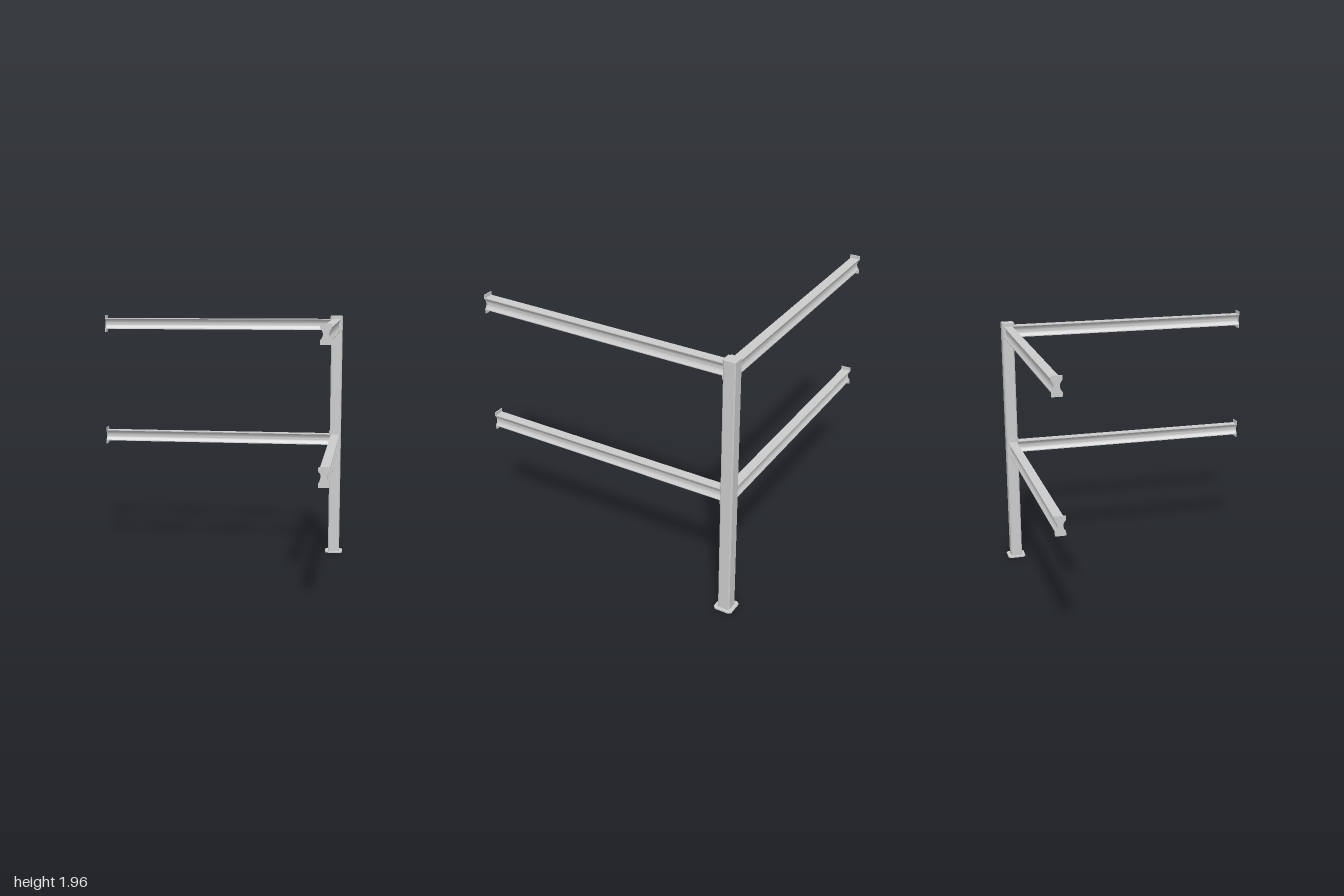
import * as THREE from 'three';
import { toCreasedNormals } from 'three/addons/utils/BufferGeometryUtils.js';

const steel = new THREE.MeshStandardMaterial({ color: 0xcccccc });
const POST = 0.925; // distance of the post axis from the centre, in x and -z
const FACE = 0.88; // post face that the beams meet

function extrude(shape, depth) {
  const g = new THREE.ExtrudeGeometry(shape, { depth, bevelEnabled: false, curveSegments: 12 });
  return toCreasedNormals(g, 0.5);
}

function part(name, geometry) {
  const mesh = new THREE.Mesh(geometry, steel);
  mesh.name = name;
  return mesh;
}

// Rectangle with a concave bite on each side
function waisted(halfWidth, halfHeight, biteHalf, biteDepth) {
  const s = new THREE.Shape();
  s.moveTo(-halfWidth, -halfHeight);
  s.lineTo(halfWidth, -halfHeight);
  s.lineTo(halfWidth, -biteHalf);
  s.quadraticCurveTo(halfWidth - 2 * biteDepth, 0, halfWidth, biteHalf);
  s.lineTo(halfWidth, halfHeight);
  s.lineTo(-halfWidth, halfHeight);
  s.lineTo(-halfWidth, biteHalf);
  s.quadraticCurveTo(-halfWidth + 2 * biteDepth, 0, -halfWidth, -biteHalf);
  s.closePath();
  return s;
}

// Square with cut corners
function cutSquare(half, cut, Type = THREE.Shape) {
  const a = half, b = half - cut;
  return new Type([[b, -a], [a, -b], [a, b], [b, a], [-b, a], [-a, b], [-a, -b], [-b, -a]]
    .map(([x, y]) => new THREE.Vector2(x, y)));
}

// Vertical extrusion from a plan shape, standing at height y
function upright(name, shape, y, height) {
  const g = extrude(shape, height);
  g.rotateX(-Math.PI / 2);
  g.translate(POST, y, -POST);
  return part(name, g);
}

function beam(name, y) {
  const group = new THREE.Group();
  group.name = name;
  const length = 1 + FACE, t = 0.006;
  const body = part('beamBody', extrude(waisted(0.034, 0.045, 0.039, 0.018), length - 2 * t));
  body.position.z = t;
  group.add(body);
  for (const z of [0, length - t]) {
    const plate = part('endPlate', extrude(waisted(0.038, 0.07, 0.039, 0.018), t));
    plate.position.z = z;
    group.add(plate);
  }
  group.position.y = y;
  return group;
}

export function createModel() {
  const model = new THREE.Group();
  model.name = 'cornerFrame';

  // Hollow post with closed top
  const tube = cutSquare(0.045, 0.008);
  tube.holes.push(cutSquare(0.039, 0.006, THREE.Path));
  model.add(upright('post', tube, 0, 1.945));
  model.add(upright('postCap', cutSquare(0.045, 0.008), 1.945, 0.01));

  // Base plate, open under the post
  const base = cutSquare(0.07, 0.018);
  base.holes.push(cutSquare(0.045, 0.008, THREE.Path));
  model.add(upright('basePlate', base, 0, 0.01));

  // Two levels of beams, one in each direction
  for (const [level, y] of [['lower', 0.945], ['upper', 1.885]]) {
    const side = beam(level + 'SideBeam', y);
    side.position.x = POST;
    side.position.z = -FACE;
    const back = beam(level + 'BackBeam', y);
    back.rotation.y = -Math.PI / 2;
    back.position.x = FACE;
    back.position.z = -POST;
    model.add(side, back);
  }
  return model;
}
